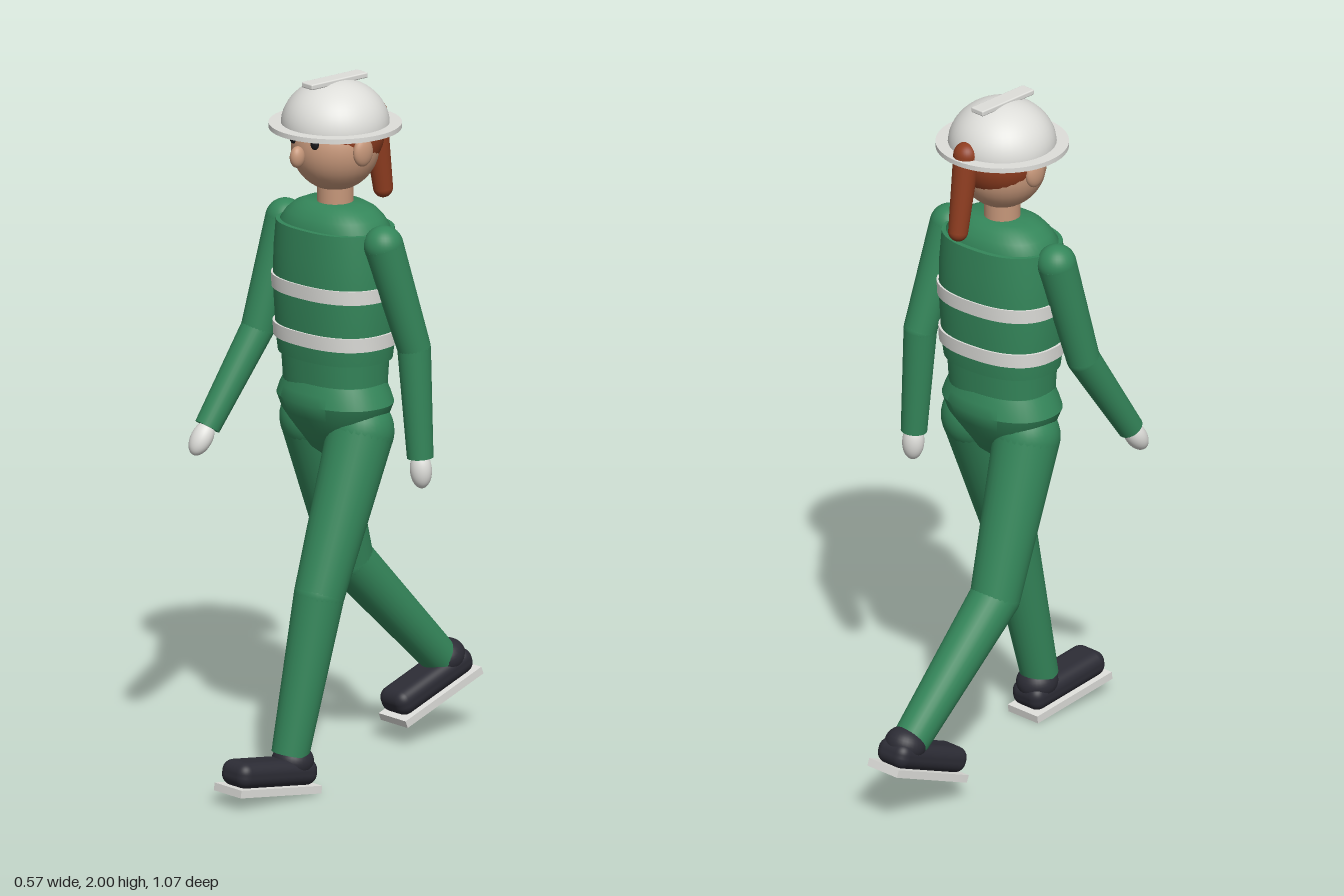
import * as THREE from 'three';
import { mergeVertices, toCreasedNormals } from 'three/addons/utils/BufferGeometryUtils.js';
import { RoundedBoxGeometry } from 'three/addons/geometries/RoundedBoxGeometry.js';

const paint = (name, color) => {
  const m = new THREE.MeshStandardMaterial({ color });
  m.name = name;
  return m;
};
const V = (x, y, z) => new THREE.Vector3(x, y, z);

export function createModel() {
  const green = paint('green cloth', 0x34865a);
  const white = paint('off white', 0xdededa);
  const skin = paint('skin', 0xc6977a);
  const hairRed = paint('red hair', 0x8f3d20);
  const dark = paint('dark shoe', 0x2c2c35);
  const black = paint('eye black', 0x18181c);

  const model = new THREE.Group();
  model.name = 'walkingWorker';
  const BODY_Z = 0.048;

  const add = (parent, name, geo, mat, pos = V(0, 0, 0)) => {
    const mesh = new THREE.Mesh(geo, mat);
    mesh.name = name;
    mesh.position.copy(pos);
    parent.add(mesh);
    return mesh;
  };
  const ball = (parent, name, mat, pos, rx, ry = rx, rz = rx) =>
    add(parent, name, new THREE.SphereGeometry(1, 32, 20).scale(rx, ry, rz), mat, pos);

  // Tapered round segment running from point a to point b
  const segment = (parent, name, mat, a, b, ra, rb) => {
    const dir = b.clone().sub(a);
    const geo = new THREE.CylinderGeometry(rb, ra, dir.length(), 28);
    const mesh = add(parent, name, geo, mat, a.clone().add(b).multiplyScalar(0.5));
    mesh.quaternion.setFromUnitVectors(V(0, 1, 0), dir.normalize());
    return mesh;
  };

  // Body section: lathe profile reshaped to a softly squared oval
  const section = (parent, name, mat, profile, depth = 0.74, n = 2.4) => {
    const pts = profile.map(([r, y]) => new THREE.Vector2(r, y));
    let geo = new THREE.LatheGeometry(pts, 48);
    const p = geo.attributes.position;
    for (let i = 0; i < p.count; i++) {
      const x = p.getX(i), z = p.getZ(i), r = Math.hypot(x, z);
      if (r < 1e-6) continue;
      const k = 1 / Math.pow(Math.abs(x / r) ** n + Math.abs(z / r) ** n, 1 / n);
      p.setX(i, x * k);
      p.setZ(i, z * k * depth);
    }
    geo.deleteAttribute('uv');
    geo.deleteAttribute('normal');
    geo = toCreasedNormals(mergeVertices(geo), 0.6);
    return add(parent, name, geo, mat);
  };

  // Torso, slightly turned with the stride
  const torso = new THREE.Group();
  torso.name = 'torso';
  torso.position.z = BODY_Z;
  torso.rotation.y = 0.08;
  model.add(torso);
  section(torso, 'yoke', green,
    [[0, 1.56], [0.172, 1.56], [0.168, 1.585], [0.15, 1.61], [0.125, 1.632], [0.095, 1.645], [0, 1.645]], 0.7);
  section(torso, 'vest', green,
    [[0, 1.205], [0.172, 1.205], [0.178, 1.25], [0.187, 1.4], [0.185, 1.5], [0.178, 1.582], [0, 1.587]]);
  section(torso, 'waist', green, [[0, 1.1], [0.155, 1.1], [0.163, 1.22], [0, 1.22]]);
  const stripes = [['upperStripe', 1.388, 0.191], ['lowerStripe', 1.25, 0.186]];
  for (const [name, y, r] of stripes) {
    section(torso, name, white, [[r - 0.02, y], [r, y], [r + 0.002, y + 0.04], [r - 0.02, y + 0.04]]);
  }

  // Pelvis
  const pelvis = section(model, 'pelvis', green, [
    [0, 0.908], [0.04, 0.912], [0.08, 0.935], [0.13, 0.99], [0.17, 1.04],
    [0.187, 1.08], [0.176, 1.11], [0.162, 1.138], [0, 1.14]], 0.72, 2.2);
  pelvis.position.z = BODY_Z;

  // Arms: shoulder, elbow, wrist
  const arms = [
    ['left', V(0.2, 1.555, 0.043), V(0.228, 1.25, -0.045), V(0.245, 0.935, -0.053)],
    ['right', V(-0.2, 1.555, 0.06), V(-0.225, 1.245, 0.14), V(-0.247, 0.985, 0.305)],
  ];
  for (const [side, shoulder, elbow, wrist] of arms) {
    const arm = new THREE.Group();
    arm.name = side + 'Arm';
    model.add(arm);
    ball(arm, 'shoulder', green, shoulder, 0.056);
    segment(arm, 'upperArm', green, shoulder, elbow, 0.056, 0.047);
    ball(arm, 'elbow', green, elbow, 0.047);
    segment(arm, 'forearm', green, elbow, wrist, 0.047, 0.037);
    const dir = wrist.clone().sub(elbow).normalize();
    const glove = ball(arm, 'glove', white, wrist.clone().addScaledVector(dir, 0.035), 0.032, 0.053, 0.03);
    glove.quaternion.setFromUnitVectors(V(0, -1, 0), dir);
  }

  // Legs: hip, knee, ankle, then underside of the shoe and its pitch
  const legs = [
    ['left', V(0.102, 1.0, 0.042), V(0.118, 0.56, 0.208), V(0.106, 0.115, 0.304), V(0.106, 0.0205, 0.387), -0.13],
    ['right', V(-0.102, 1.0, 0.042), V(-0.12, 0.56, -0.102), V(-0.106, 0.215, -0.43), V(-0.106, 0.109, -0.398), 0.37],
  ];
  for (const [side, hip, knee, ankle, base, pitch] of legs) {
    const leg = new THREE.Group();
    leg.name = side + 'Leg';
    model.add(leg);
    ball(leg, 'hip', green, hip, 0.094, 0.1, 0.094);
    segment(leg, 'thigh', green, hip, knee, 0.094, 0.071);
    ball(leg, 'knee', green, knee, 0.071);
    segment(leg, 'shin', green, knee, ankle, 0.071, 0.053);

    const shoe = new THREE.Group();
    shoe.name = side + 'Shoe';
    shoe.position.copy(base);
    shoe.rotation.x = pitch;
    model.add(shoe);
    add(shoe, 'sole', new THREE.BoxGeometry(0.115, 0.022, 0.298), white, V(0, 0.011, 0));
    add(shoe, 'upper', new RoundedBoxGeometry(0.112, 0.074, 0.288, 5, 0.032), dark, V(0, 0.057, 0));
    ball(shoe, 'ankleCuff', dark, V(0, 0.085, -0.082), 0.059, 0.05, 0.06);
  }

  // Head
  const head = new THREE.Group();
  head.name = 'head';
  head.position.z = BODY_Z;
  model.add(head);
  segment(head, 'neck', skin, V(0, 1.6, 0), V(0, 1.73, 0), 0.051, 0.051);
  ball(head, 'face', skin, V(0, 1.803, 0), 0.123, 0.126, 0.125);
  ball(head, 'nose', skin, V(0, 1.794, 0.139), 0.019, 0.031, 0.023);
  for (const s of [-1, 1]) {
    ball(head, s > 0 ? 'leftEar' : 'rightEar', skin, V(s * 0.123, 1.81, 0.004), 0.018, 0.042, 0.033);
    ball(head, s > 0 ? 'leftEye' : 'rightEye', black, V(s * 0.045, 1.836, 0.114), 0.014, 0.017, 0.01);
  }

  // Hair and ponytail
  ball(head, 'hair', hairRed, V(0, 1.84, -0.015), 0.126, 0.126, 0.127);
  const tailTop = V(0, 1.875, -0.142), tailEnd = V(0, 1.65, -0.175);
  ball(head, 'ponytailTop', hairRed, tailTop, 0.037);
  segment(head, 'ponytail', hairRed, tailTop, tailEnd, 0.037, 0.028);
  ball(head, 'ponytailTip', hairRed, tailEnd, 0.028);

  // Hard hat
  const hat = new THREE.Group();
  hat.name = 'hardHat';
  head.add(hat);
  const dome = new THREE.SphereGeometry(1, 40, 16, 0, Math.PI * 2, 0, Math.PI / 2).scale(0.152, 0.13, 0.152);
  add(hat, 'dome', dome, white, V(0, 1.865, 0));
  add(hat, 'brim', new THREE.CylinderGeometry(0.186, 0.186, 0.014, 48), white, V(0, 1.864, 0));
  add(hat, 'ridge', new RoundedBoxGeometry(0.046, 0.016, 0.206, 2, 0.004), white, V(0, 1.992, 0.002));

  return model;
}
